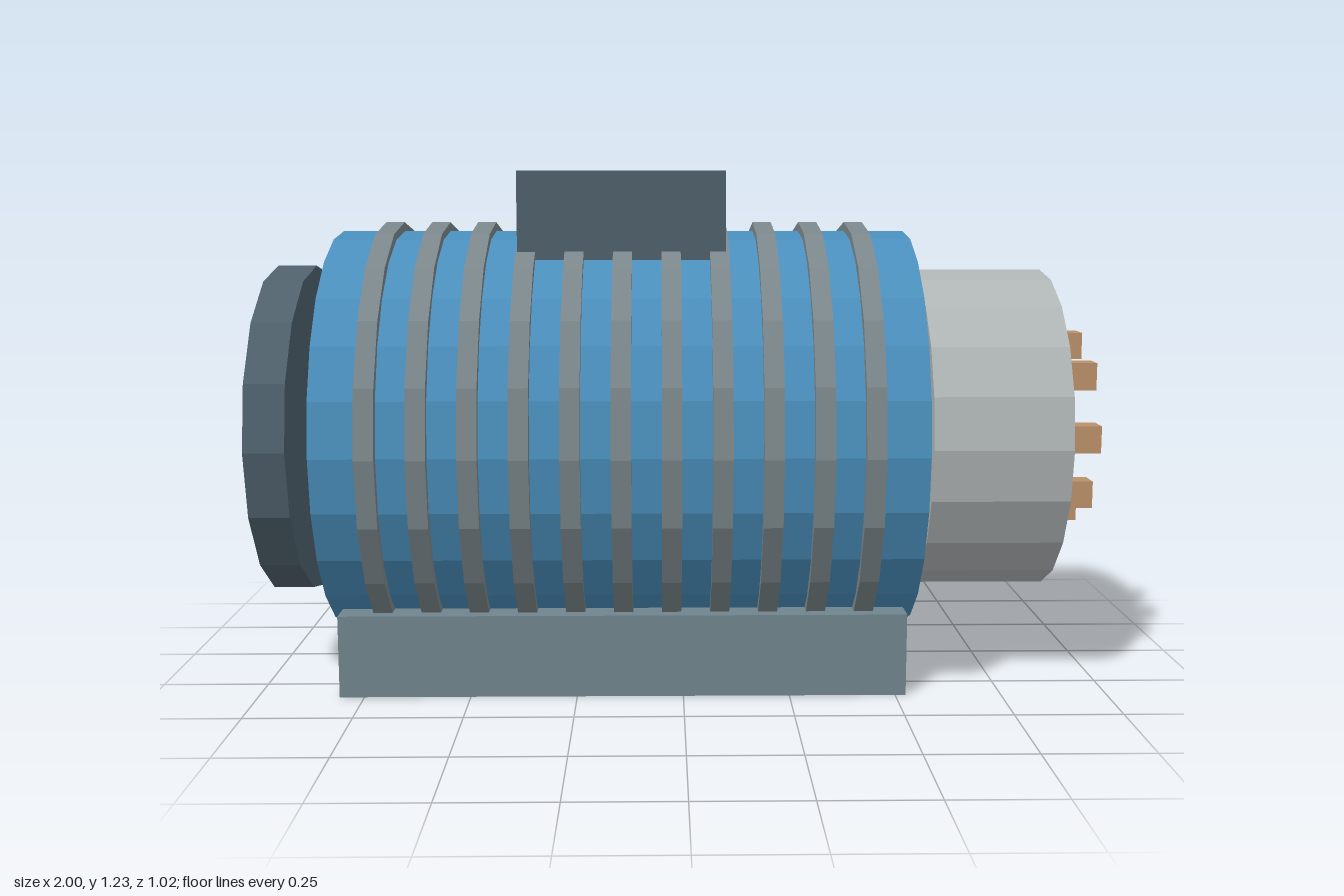
import * as THREE from 'three';

const AXIS_Y = 0.59;

function material(name, color) {
  const m = new THREE.MeshStandardMaterial({ color, flatShading: true });
  m.name = name;
  return m;
}

export function createModel() {
  const model = new THREE.Group();
  model.name = 'electricMotor';

  const blue = material('blue housing paint', 0x4a8fbd);
  const ringGrey = material('fin grey', 0x7b878b);
  const baseGrey = material('base blue grey', 0x70858d);
  const slate = material('dark slate', 0x4f616c);
  const steel = material('light steel', 0xb0b5b6);
  const copper = material('copper', 0xba916a);

  function add(name, geometry, mat, x, y, z, parent = model) {
    const mesh = new THREE.Mesh(geometry, mat);
    mesh.name = name;
    mesh.position.set(x, y, z);
    parent.add(mesh);
    return mesh;
  }

  // Cylinder lying along x, from x0 to x1 on the motor axis
  function drum(name, x0, x1, radius, sides, mat, parent = model) {
    const geometry = new THREE.CylinderGeometry(radius, radius, x1 - x0, sides);
    geometry.rotateZ(-Math.PI / 2);
    return add(name, geometry, mat, (x0 + x1) / 2, AXIS_Y, 0, parent);
  }

  // Box given by its limits in x and y, centred on z
  function block(name, x0, x1, y0, y1, depth, mat) {
    const geometry = new THREE.BoxGeometry(x1 - x0, y1 - y0, depth);
    return add(name, geometry, mat, (x0 + x1) / 2, (y0 + y1) / 2, 0);
  }

  // Housing, rear cover, shaft and commutator
  drum('housing', -0.835, 0.55, 0.49, 24, blue);
  drum('rearCover', -1, -0.905, 0.405, 16, slate);
  drum('shaft', 0.5, 0.6, 0.11, 16, steel);
  drum('commutator', 0.573, 0.895, 0.394, 20, steel);

  // Cooling fins around the housing
  const fins = new THREE.Group();
  fins.name = 'coolingFins';
  model.add(fins);
  for (let i = 0; i < 11; i++) {
    const x = -0.707 + i * 0.1133;
    drum('coolingFin', x - 0.0225, x + 0.0225, 0.512, 20, ringGrey, fins);
  }

  // Mounting base and terminal box
  block('mountingBase', -0.808, 0.525, 0, 0.195, 0.706, baseGrey);
  block('terminalBox', -0.387, 0.101, 0.98, 1.225, 0.47, slate);

  // Circle of copper contacts on the end face
  const contacts = new THREE.Group();
  contacts.name = 'contacts';
  model.add(contacts);
  const contactShape = new THREE.BoxGeometry(0.12, 0.066, 0.063);
  for (let i = 0; i < 8; i++) {
    const a = (i * Math.PI) / 4;
    add('contact', contactShape, copper, 0.94,
      AXIS_Y + 0.205 * Math.sin(a), 0.205 * Math.cos(a), contacts);
  }

  return model;
}
